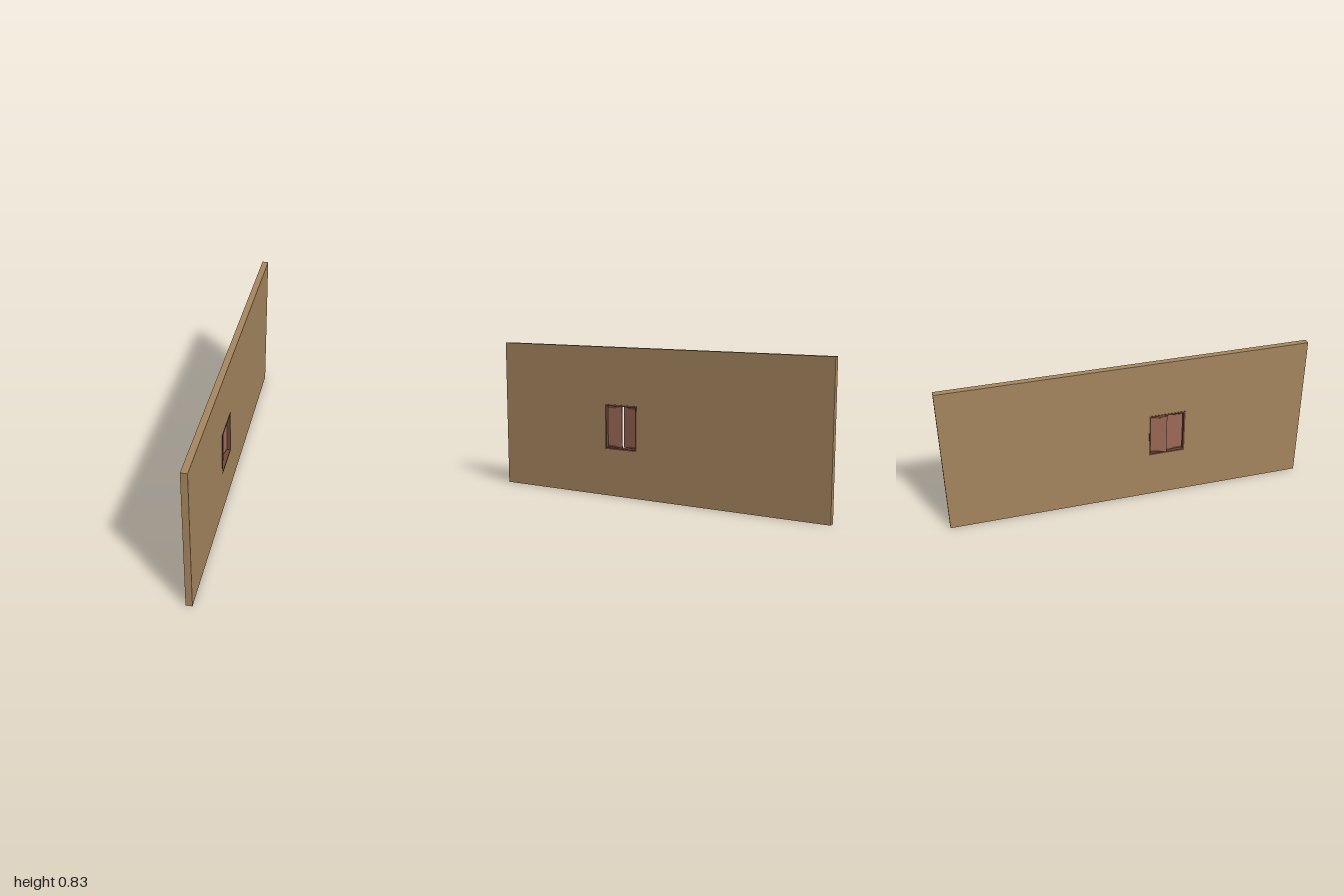
import * as THREE from 'three';

const material = (name, color) => {
  const m = new THREE.MeshStandardMaterial({ color });
  m.name = name;
  return m;
};

// Outline rectangle
function rect(Type, x0, y0, x1, y1) {
  const s = new Type();
  s.moveTo(x0, y0);
  s.lineTo(x1, y0);
  s.lineTo(x1, y1);
  s.lineTo(x0, y1);
  s.closePath();
  return s;
}

// Slab of a shape, drawn in (-z, y) and extruded along x
function slab(name, shape, x0, x1, mat) {
  const geo = new THREE.ExtrudeGeometry(shape, { depth: x1 - x0, bevelEnabled: false, curveSegments: 8 });
  geo.translate(0, 0, x0);
  geo.rotateY(Math.PI / 2);
  const mesh = new THREE.Mesh(geo, mat);
  mesh.name = name;
  return mesh;
}

export function createModel() {
  const plaster = material('tan wall', 0xa88860);
  const frameWood = material('dark frame wood', 0x704838);
  const shutterWood = material('reddish shutter wood', 0xa06c59);
  const model = new THREE.Group();
  model.name = 'wallWithWindow';

  // Wall with window opening
  const wall = rect(THREE.Shape, -1, 0, 1, 0.83);
  wall.holes.push(rect(THREE.Path, -0.308, 0.268, -0.117, 0.509));
  model.add(slab('wall', wall, -0.016, 0.018, plaster));

  // Window frame, slightly proud of both wall faces
  const frame = rect(THREE.Shape, -0.314, 0.263, -0.111, 0.515);
  frame.holes.push(rect(THREE.Path, -0.305, 0.272, -0.12, 0.506));
  model.add(slab('windowFrame', frame, -0.018, 0.02, frameWood));

  // Shutter leaves: side +1 hinges at the near jamb, -1 at the far jamb
  const width = 0.0915, height = 0.23;
  for (const [side, hingeZ, angle] of [[1, 0.304, 0], [-1, 0.121, -0.2]]) {
    const leaf = new THREE.Group();
    leaf.name = side > 0 ? 'closedShutter' : 'ajarShutter';
    const x1 = side * width;
    leaf.add(slab('shutterBoard', rect(THREE.Shape, 0, 0, x1, height), -0.0025, 0.0025, frameWood));

    // Scalloped panel that rises toward the meeting edge
    const panel = new THREE.Shape();
    panel.moveTo(side * 0.003, 0.012);
    panel.lineTo(side * 0.05, 0.012);
    panel.quadraticCurveTo(side * 0.065, 0.003, side * 0.09, 0.003);
    panel.lineTo(side * 0.09, height - 0.003);
    panel.quadraticCurveTo(side * 0.065, height - 0.003, side * 0.05, height - 0.012);
    panel.lineTo(side * 0.003, height - 0.012);
    panel.closePath();
    leaf.add(slab('shutterPanel', panel, -0.0035, 0.0035, shutterWood));

    leaf.position.set(0, 0.274, hingeZ);
    leaf.rotation.y = angle;
    model.add(leaf);
  }
  return model;
}
